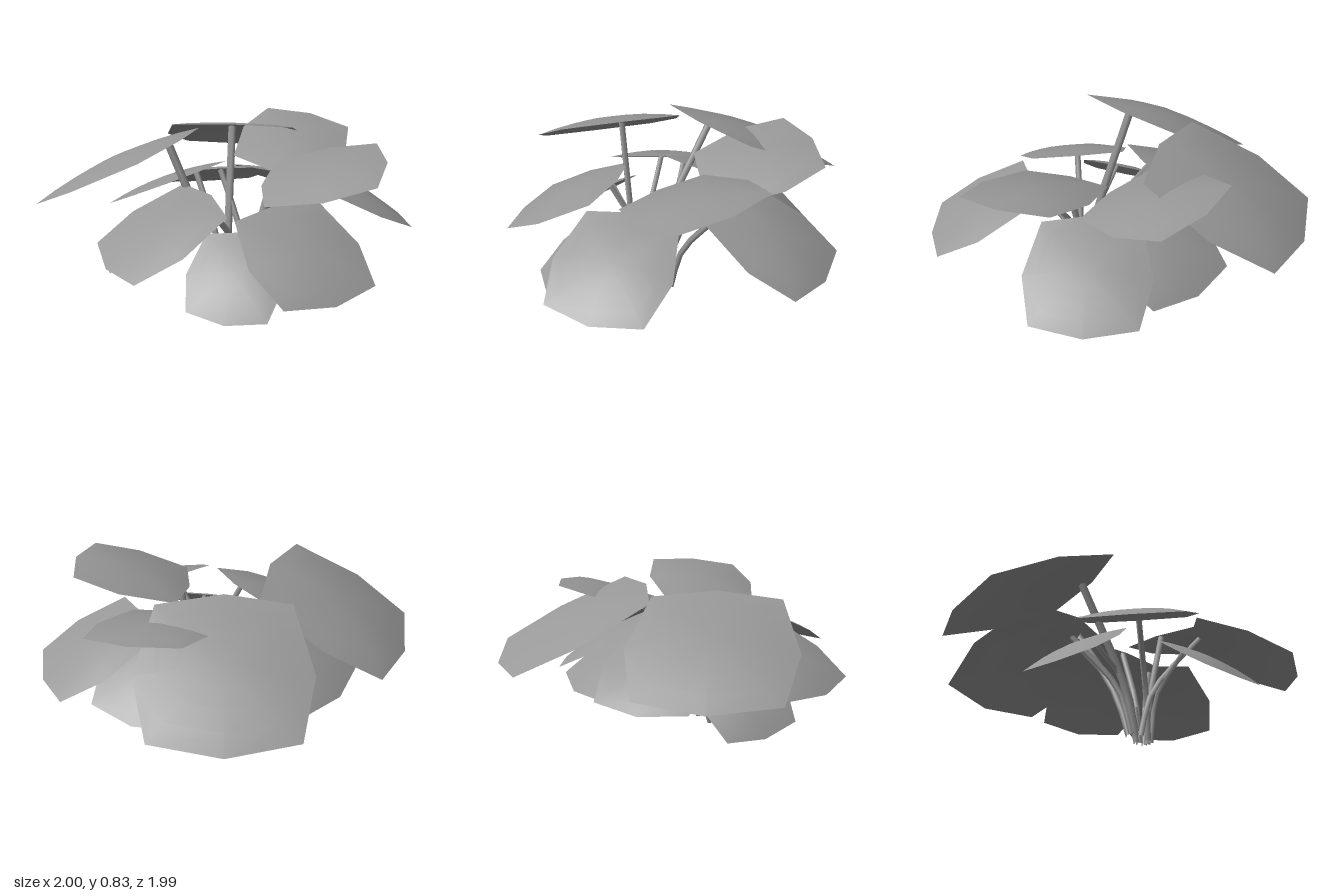
import * as THREE from 'three';

const stemMaterial = new THREE.MeshStandardMaterial({ color: 0x989898 });
const leafMaterial = new THREE.MeshStandardMaterial({ color: 0x989898, side: THREE.DoubleSide });

// Half outline of a leaf of length 1: [along the midrib, sideways]
const HALF = [[0, 0], [0.07, 0.39], [0.53, 0.49], [0.92, 0.4], [1, 0]];
const OUTLINE = [...HALF, ...HALF.slice(1, 4).reverse().map(([u, v]) => [u, -v])];
const RINGS = 4;

// Each leaf: where it meets its stem, its tip, the stem's root (x, z), and a sideways roll
const LEAVES = [
  { name: 'upperLeafBack', base: [0.07, 0.82, -0.21], tip: [0.28, 0.45, -0.965], root: [-0.02, 0.14] },
  { name: 'upperLeafRight', base: [-0.25, 0.82, 0.03], tip: [-0.86, 0.44, -0.41], root: [-0.06, 0.19] },
  { name: 'upperLeafBackLeft', base: [0.25, 0.62, 0.02], tip: [0.6, 0.78, -0.48], root: [0.12, 0.14], roll: -0.11 },
  { name: 'upperLeafFrontLeft', base: [0.14, 0.63, 0.24], tip: [0.72, 0.79, 0.45], root: [0.15, 0.17], roll: -0.1 },
  { name: 'middleLeafFront', base: [0.16, 0.6, 0.44], tip: [0.32, 0.32, 0.965], root: [0.01, 0.19] },
  { name: 'middleLeafFrontRight', base: [-0.12, 0.6, 0.25], tip: [-0.67, 0.32, 0.42], root: [0.09, 0.2] },
  { name: 'middleLeafLeft', base: [0.43, 0.6, 0.07], tip: [0.99, 0.32, 0.02], root: [0.16, 0.15] },
  { name: 'middleLeafBackLeft', base: [0.25, 0.6, -0.04], tip: [0.61, 0.31, -0.47], root: [0.11, 0.14] },
  { name: 'middleLeafBack', base: [0, 0.6, -0.12], tip: [0.02, 0.32, -0.66], root: [0.1, 0.13] },
  { name: 'middleLeafBackRight', base: [-0.11, 0.6, -0.11], tip: [-0.45, 0.32, -0.54], root: [-0.04, 0.16] },
  { name: 'lowerLeafFront', base: [0.02, 0.46, 0.42], tip: [-0.15, 0.155, 0.77], root: [0.13, 0.2] },
  { name: 'lowerLeafRight', base: [-0.28, 0.46, 0.07], tip: [-0.67, 0.16, 0.05], root: [0, 0.17], roll: -0.1 },
];

// Gently domed blade built from shrinking rings of the outline
function leafGeometry(base, tip, roll) {
  const along = tip.clone().sub(base);
  const length = along.length();
  const side = new THREE.Vector3(-along.z, 0, along.x).normalize();
  side.y = roll;
  side.normalize().multiplyScalar(length);
  const up = side.clone().cross(along).normalize();

  const positions = [];
  const addPoint = (u, v, r) => {
    const p = base.clone().addScaledVector(along, u).addScaledVector(side, v)
      .addScaledVector(up, 0.065 * length * (1 - r * r));
    positions.push(p.x, p.y, p.z);
  };
  addPoint(0.5, 0, 0);
  for (let ring = 1; ring <= RINGS; ring++) {
    const r = ring / RINGS;
    for (const [u, v] of OUTLINE) addPoint(0.5 + (u - 0.5) * r, v * r, r);
  }

  const n = OUTLINE.length;
  const index = [];
  for (let i = 0; i < n; i++) {
    const j = (i + 1) % n;
    index.push(0, 1 + j, 1 + i);
    for (let ring = 0; ring < RINGS - 1; ring++) {
      const a = 1 + ring * n, b = a + n;
      index.push(a + i, a + j, b + i, a + j, b + j, b + i);
    }
  }
  // Faces turn their front upwards
  for (let i = 0; i < index.length; i += 3) {
    const [a, b, c] = [0, 1, 2].map((k) => new THREE.Vector3().fromArray(positions, index[i + k] * 3));
    if (b.sub(a).cross(c.sub(a)).dot(up) < 0) [index[i + 1], index[i + 2]] = [index[i + 2], index[i + 1]];
  }
  const geometry = new THREE.BufferGeometry();
  geometry.setAttribute('position', new THREE.Float32BufferAttribute(positions, 3));
  geometry.setIndex(index);
  geometry.computeVertexNormals();
  return geometry;
}

// Slim stem rising almost upright from the root, then leaning out to its leaf; taller ones are thicker
function stemGeometry(base, tip, [x, z]) {
  const end = base.clone().lerp(tip, 0.08);
  const root = new THREE.Vector3(x, 0, z);
  const bend = root.clone().lerp(end, 0.2).setY(0.25);
  const path = new THREE.CatmullRomCurve3([root, bend, end]);
  return new THREE.TubeGeometry(path, 6, 0.003 + 0.023 * end.y, 4);
}

export function createModel() {
  const plant = new THREE.Group();
  plant.name = 'plant';
  for (const { name, base, tip, root, roll = 0 } of LEAVES) {
    const from = new THREE.Vector3(...base);
    const to = new THREE.Vector3(...tip);

    const leaf = new THREE.Mesh(leafGeometry(from, to, roll), leafMaterial);
    leaf.name = name;

    const stem = new THREE.Mesh(stemGeometry(from, to, root), stemMaterial);
    stem.name = name.replace('Leaf', 'Stem');
    plant.add(leaf, stem);
  }
  return plant;
}
